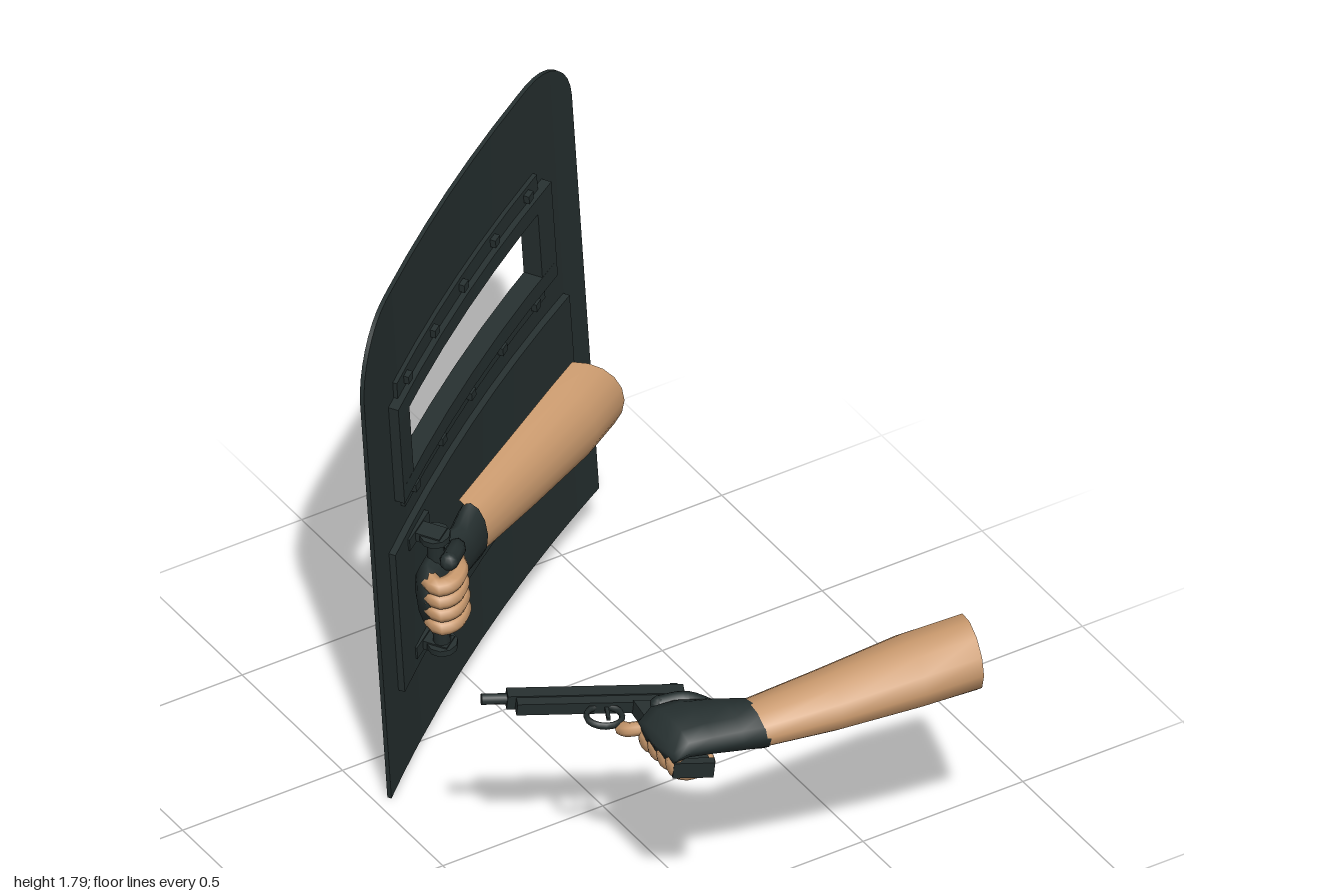
import * as THREE from 'three';

const V = (x, y, z) => new THREE.Vector3(x, y, z);

export function createModel() {
  const mat = (name, color, side = THREE.FrontSide) => {
    const m = new THREE.MeshStandardMaterial({ color, side });
    m.name = name;
    return m;
  };
  const shieldMat = mat('shield dark', 0x263030);
  const gunMat = mat('gunmetal', 0x262f2f);
  const gloveMat = mat('glove dark', 0x263030, THREE.DoubleSide);
  const skinMat = mat('skin', 0xc9996d, THREE.DoubleSide);

  const add = (parent, name, geo, material, x = 0, y = 0, z = 0) => {
    const m = new THREE.Mesh(geo, material);
    m.name = name;
    m.position.set(x, y, z);
    parent.add(m);
    return m;
  };
  const box = (p, name, material, w, h, d, x, y, z) =>
    add(p, name, new THREE.BoxGeometry(w, h, d), material, x, y, z);

  // Group whose local axes follow a given right and up direction
  const frameGroup = (name, origin, right, up) => {
    const g = new THREE.Group();
    g.name = name;
    const r = right.normalize();
    const n = r.clone().cross(up).normalize();
    const u = n.clone().cross(r);
    g.applyMatrix4(new THREE.Matrix4().makeBasis(r, u, n).setPosition(origin));
    return g;
  };

  // Skin through elliptical sections: [centre, half axis a, half axis b]
  const loft = (sections, sides, start = 0, arc = Math.PI * 2) => {
    const closed = arc > 6.28, row = closed ? sides : sides + 1;
    const pos = [], idx = [];
    for (const [c, a, b] of sections)
      for (let j = 0; j < row; j++) {
        const t = start + (arc * j) / sides;
        const p = V(...c).addScaledVector(V(...a), Math.cos(t)).addScaledVector(V(...b), Math.sin(t));
        pos.push(p.x, p.y, p.z);
      }
    for (let i = 0; i < sections.length - 1; i++)
      for (let j = 0; j < sides; j++) {
        const k = (j + 1) % row, p = i * row + j, q = i * row + k;
        idx.push(p, q, p + row, q, q + row, p + row);
      }
    const g = new THREE.BufferGeometry();
    g.setAttribute('position', new THREE.Float32BufferAttribute(pos, 3));
    g.setIndex(idx);
    g.computeVertexNormals();
    return g;
  };

  // Finger: curved tube with a round tip
  const finger = (parent, name, pts, r, material) => {
    const path = new THREE.CatmullRomCurve3(pts.map(p => V(...p)));
    add(parent, name, new THREE.TubeGeometry(path, 12, r, 8), material);
    add(parent, name + 'Tip', new THREE.SphereGeometry(r, 8, 6), material, ...pts[pts.length - 1]);
  };

  const model = new THREE.Group();
  model.name = 'shieldAndPistol';

  // ---- Shield: local x across, y up, z towards the bearer ----
  const shield = frameGroup('shield', V(0.075, 0.1, -0.665), V(1.07, 0.18, -0.67), V(-0.117, 0.989, 0.089));
  model.add(shield);
  const HW = 0.6375, H = 1.655, R = 0.2;
  const bow = s => -0.04 * (1 - (s / HW) ** 2);
  const span = (a, b, n) => Array.from({ length: n + 1 }, (_, i) => a + ((b - a) * i) / n);

  // Slab that follows the bow of the shield
  const slab = (name, ss, low, high, n0, n1) => {
    const k = ss.length - 1, g = new THREE.BoxGeometry(1, 1, 1, k, 1, 1), p = g.attributes.position;
    for (let i = 0; i < p.count; i++) {
      const s = ss[Math.round((p.getX(i) + 0.5) * k)];
      const t = p.getY(i) < 0 ? low : typeof high === 'function' ? high(s) : high;
      p.setXYZ(i, s, t, bow(s) + (p.getZ(i) < 0 ? n0 : n1));
    }
    g.computeVertexNormals();
    add(shield, name, g, shieldMat);
  };
  const topEdge = s => {
    const d = Math.abs(s) - (HW - R);
    return d > 0 ? H - R + Math.sqrt(Math.max(0, R * R - d * d)) : H;
  };
  const WX = 0.395, W0 = 1.0, W1 = 1.235;
  const corner = span(0, Math.PI / 2, 8).map(a => -HW + R * (1 - Math.cos(a)));
  const leftCols = [...corner, -WX];
  slab('plateSideA', leftCols, 0, topEdge, -0.006, 0.006);
  slab('plateSideB', leftCols.map(s => -s).reverse(), 0, topEdge, -0.006, 0.006);
  slab('plateBelowWindow', span(-WX, WX, 6), 0, W0, -0.006, 0.006);
  slab('plateAboveWindow', span(-WX, WX, 6), W1, H, -0.006, 0.006);

  // Window frame with bolted flanges
  slab('frameTop', span(-0.47, 0.47, 6), W1, 1.29, -0.02, 0.035);
  slab('frameBottom', span(-0.47, 0.47, 6), 0.945, W0, -0.02, 0.035);
  slab('frameSideA', [-0.47, -WX], W0, W1, -0.02, 0.035);
  slab('frameSideB', [WX, 0.47], W0, W1, -0.02, 0.035);
  for (const [t0, t1] of [[0.89, 0.945], [1.29, 1.345]]) {
    slab('flange', span(-0.43, 0.43, 6), t0, t1, -0.011, 0.018);
    for (const s of span(-0.37, 0.37, 4))
      box(shield, 'bolt', shieldMat, 0.026, 0.026, 0.02, s, (t0 + t1) / 2, bow(s) + 0.024);
  }

  // Inner pad, outer reinforcement and handle bolts on the outside
  slab('innerPad', span(-0.535, 0.535, 8), 0.305, 0.81, 0, 0.025);
  slab('outerLip', span(-0.53, 0.53, 8), 0.815, 0.83, -0.012, 0);
  for (const t of [0.38, 0.75]) box(shield, 'outerBolt', shieldMat, 0.07, 0.018, 0.02, -0.385, t, -0.03);

  // Handle
  add(shield, 'handleBar', new THREE.CylinderGeometry(0.024, 0.024, 0.4, 10), shieldMat, -0.385, 0.565, 0.055);
  for (const t of [0.365, 0.765]) {
    box(shield, 'handleBracket', shieldMat, 0.05, 0.03, 0.1, -0.385, t, 0.03);
    box(shield, 'handleFoot', shieldMat, 0.12, 0.04, 0.02, -0.385, t, 0.0);
    add(shield, 'handleCollar', new THREE.CylinderGeometry(0.042, 0.042, 0.02, 10), shieldMat, -0.385, t, 0.055);
  }

  // ---- Hand on the shield handle ----
  add(shield, 'shieldGlove', loft([
    [[-0.165, 0.585, 0.05], [0, 0, 0.046], [0, 0.1, 0]],
    [[-0.24, 0.585, 0.052], [0, 0, 0.042], [0, 0.083, 0]],
    [[-0.33, 0.595, 0.045], [0, 0, 0.045], [0, 0.1, 0]],
    [[-0.43, 0.595, 0.05], [0, 0, 0.042], [0, 0.103, 0]],
    [[-0.465, 0.595, 0.06], [0, 0, 0.03], [0, 0.09, 0]],
    [[-0.475, 0.595, 0.06], [0, 0, 0.001], [0, 0.001, 0]],
  ], 12), gloveMat);
  [0.515, 0.563, 0.611, 0.659].forEach(t => finger(shield, 'shieldFinger', [
    [-0.445, t, 0.06], [-0.462, t, 0.095], [-0.43, t, 0.122], [-0.38, t, 0.118], [-0.35, t - 0.005, 0.095],
  ], 0.026, skinMat));
  finger(shield, 'shieldThumb', [[-0.28, 0.63, 0.06], [-0.33, 0.675, 0.085], [-0.4, 0.7, 0.1]], 0.026, gloveMat);

  // Forearm behind the shield: a shell open towards the shield
  add(model, 'shieldForearm', loft([
    [[-0.13, 0.65, -0.51], [0.014, 0, 0.075], [0, -0.1, 0]],
    [[0.1, 0.665, -0.63], [0.05, 0, 0.085], [0, -0.118, 0]],
    [[0.3, 0.68, -0.735], [0.09, 0, 0.085], [0, -0.132, 0]],
    [[0.4, 0.69, -0.79], [0.12, 0, 0.07], [0, -0.13, 0]],
  ], 10, -Math.PI / 2, Math.PI), skinMat);

  // ---- Pistol, rolled on its side: local x forward, y towards its sights ----
  const gun = frameGroup('pistol', V(-0.085, 0.737, 0.535), V(-0.908, 0.08, -0.4), V(0.4, 0.1, -0.87));
  model.add(gun);
  box(gun, 'slide', gunMat, 0.475, 0.036, 0.046, 0.235, 0.012, 0);
  box(gun, 'lowerFrame', gunMat, 0.43, 0.028, 0.038, 0.235, -0.02, 0);
  const barrel = add(gun, 'barrel', new THREE.CylinderGeometry(0.015, 0.015, 0.08, 10), gunMat, 0.5, 0.012, 0);
  barrel.rotation.z = Math.PI / 2;
  box(gun, 'rearSight', gunMat, 0.02, 0.014, 0.03, 0.02, 0.035, 0);
  box(gun, 'frontSight', gunMat, 0.015, 0.012, 0.008, 0.45, 0.035, 0);
  box(gun, 'hammer', gunMat, 0.025, 0.02, 0.016, -0.01, -0.015, 0);
  const guard = add(gun, 'triggerGuard', new THREE.TorusGeometry(0.042, 0.007, 6, 16), gunMat, 0.22, -0.065, 0);
  guard.scale.set(1.15, 0.95, 1.6);
  box(gun, 'trigger', gunMat, 0.01, 0.045, 0.01, 0.21, -0.055, 0);
  const gripShape = new THREE.Shape([[0.03, -0.03], [-0.035, -0.27], [0.055, -0.27], [0.14, -0.03]]
    .map(p => new THREE.Vector2(...p)));
  add(gun, 'grip', new THREE.ExtrudeGeometry(gripShape, { depth: 0.046, bevelEnabled: false }), gunMat, 0, 0, -0.023);
  box(gun, 'magazineBase', gunMat, 0.11, 0.022, 0.052, 0.01, -0.276, 0);

  // ---- Hand on the pistol ----
  add(model, 'pistolGlove', loft([
    [[0.005, 0.755, 0.752], [0, 0, 0.082], [0, 0.066, 0]],
    [[-0.07, 0.76, 0.72], [0, 0, 0.1], [0, 0.062, 0]],
    [[-0.15, 0.768, 0.695], [0, 0, 0.113], [0, 0.054, 0]],
    [[-0.22, 0.772, 0.685], [0, 0, 0.11], [0, 0.046, 0]],
    [[-0.262, 0.755, 0.685], [0, 0, 0.1], [0, 0.032, 0]],
    [[-0.27, 0.75, 0.685], [0, 0, 0.001], [0, 0.001, 0]],
  ], 12), gloveMat);
  [0.615, 0.66, 0.705, 0.75].forEach(z => finger(model, 'pistolFinger', [
    [-0.235, 0.755, z], [-0.248, 0.72, z], [-0.225, 0.685, z], [-0.175, 0.675, z], [-0.145, 0.688, z],
  ], 0.024, skinMat));
  finger(model, 'pistolIndex', [[-0.24, 0.75, 0.61], [-0.28, 0.735, 0.575], [-0.285, 0.725, 0.55]], 0.02, skinMat);
  finger(model, 'pistolThumb', [[-0.06, 0.765, 0.66], [-0.11, 0.775, 0.59], [-0.18, 0.772, 0.565]], 0.024, gloveMat);

  // Forearm holding the pistol, open at the elbow
  add(model, 'pistolForearm', loft([
    [[-0.01, 0.757, 0.752], [0, 0, 0.078], [0, -0.063, 0]],
    [[0.2, 0.785, 0.8], [-0.01, 0, 0.097], [0, -0.08, 0]],
    [[0.43, 0.818, 0.845], [-0.02, 0, 0.114], [0, -0.095, 0]],
    [[0.595, 0.838, 0.88], [-0.025, 0, 0.112], [0, -0.099, 0]],
  ], 12), skinMat);

  return model;
}
